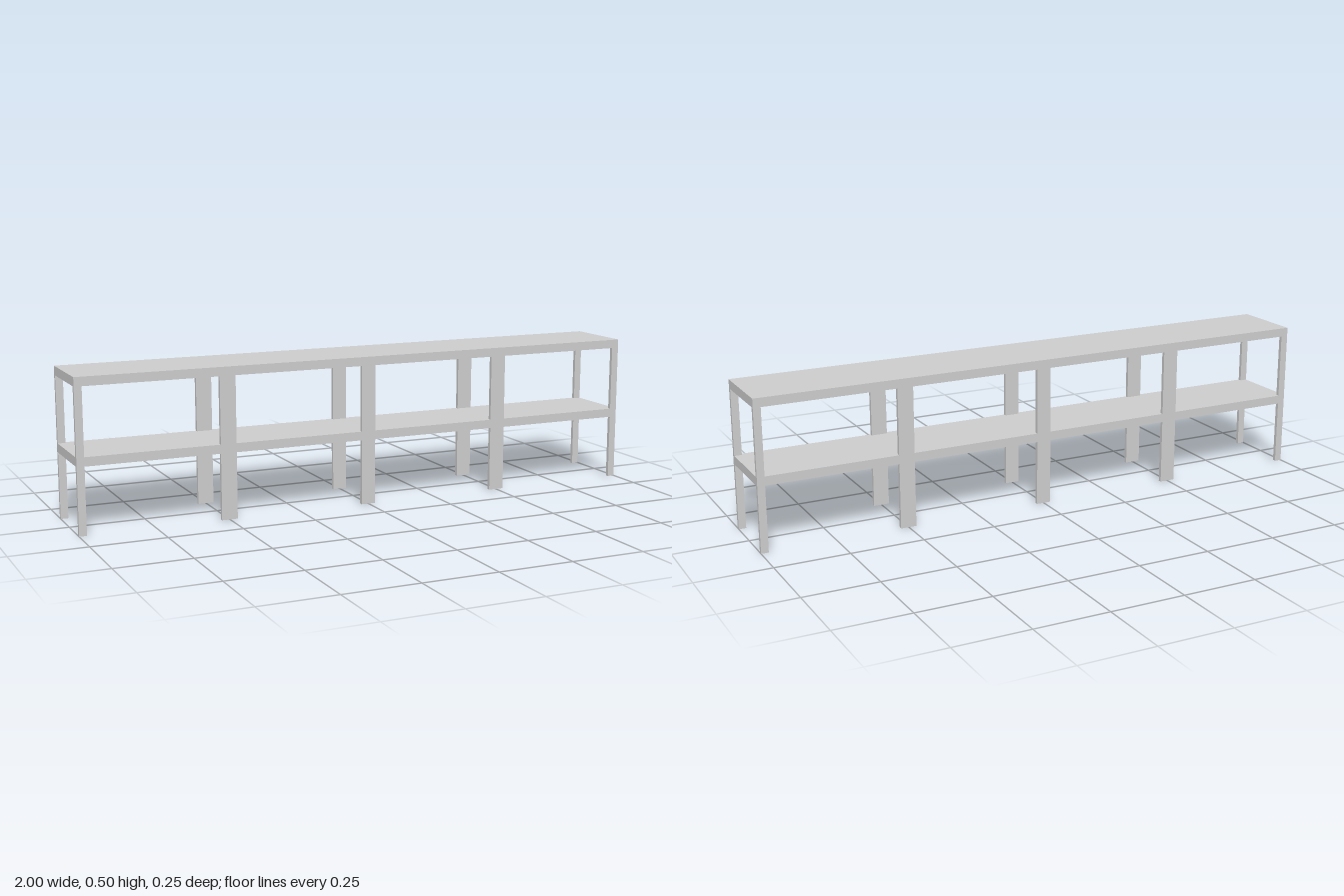
import * as THREE from 'three';

export function createModel() {
  const group = new THREE.Group();
  const material = new THREE.MeshStandardMaterial({ color: 0xcccccc, flatShading: true });

  // Box given by its extents on each axis
  function box(name, x0, x1, y0, y1, z0, z1) {
    const mesh = new THREE.Mesh(new THREE.BoxGeometry(x1 - x0, y1 - y0, z1 - z0), material);
    mesh.position.set((x0 + x1) / 2, (y0 + y1) / 2, (z0 + z1) / 2);
    mesh.name = name;
    group.add(mesh);
  }

  const depth = 0.125, inner = 0.1125;
  const topBottom = 0.475, topY = 0.505;
  const shelfBottom = 0.222, shelfTop = 0.252;

  // Top board resting on the legs, and lower shelf held between them
  box('topBoard', -1, 1, topBottom, topY, -depth, depth);
  box('lowerShelf', -1, 1, shelfBottom, shelfTop, -inner, inner);

  // Left and right edges of each leg: narrow at the ends, wide in the middle
  const legs = [[-1, -0.975], [-0.527, -0.473], [-0.025, 0.025], [0.473, 0.527], [0.975, 1]];

  for (const side of [1, -1]) {
    const z0 = side > 0 ? inner : -depth;
    const z1 = side > 0 ? depth : -inner;
    const end = side > 0 ? 'front' : 'back';
    legs.forEach(([x0, x1], i) => {
      box(end + 'Leg' + (i + 1), x0, x1, 0, topBottom, z0, z1);
      // Shelf edge filling the gap to the next leg
      if (i < legs.length - 1) {
        box(end + 'ShelfEdge' + (i + 1), x1, legs[i + 1][0], shelfBottom, shelfTop, z0, z1);
      }
    });
  }
  return group;
}
